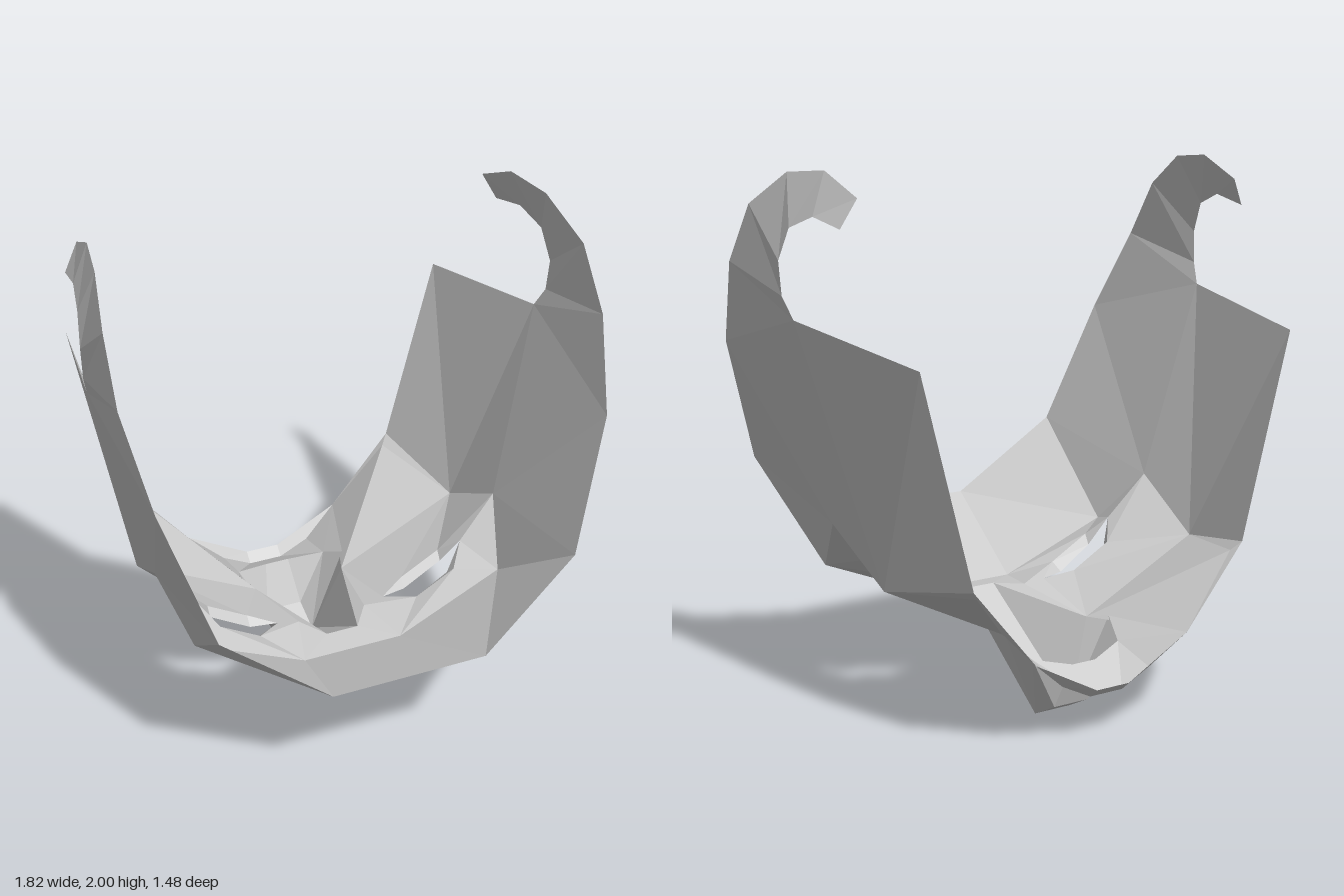
import * as THREE from 'three';

const mirror = ([x, y, z]) => [-x, y, z];

// Collects triangles of one part, each turned to face away from the hollow inside
class Patch {
  constructor() { this.pos = []; }
  tri(a, b, c) {
    if (a === b || b === c || a === c) return this;
    const [p, q, r] = [a, b, c].map(v => new THREE.Vector3(...v));
    const n = q.clone().sub(p).cross(r.clone().sub(p));
    const out = p.clone().add(q).add(r).divideScalar(3).sub(new THREE.Vector3(0, 1, -0.2));
    this.pos.push(...(n.dot(out) >= 0 ? [a, b, c] : [a, c, b]).flat());
    return this;
  }
  both(a, b, c) { return this.tri(a, b, c).tri(mirror(a), mirror(b), mirror(c)); }
  // Surface between two edges, on both sides of the face
  strip(a, b) {
    for (let i = 0; i + 1 < a.length; i++) {
      this.both(a[i], b[i], a[i + 1]).both(a[i + 1], b[i], b[i + 1]);
    }
    return this;
  }
  fan(centre, edge) {
    for (let i = 0; i + 1 < edge.length; i++) this.both(centre, edge[i], edge[i + 1]);
    return this;
  }
  // Middle band joining an edge to its own mirror image
  band(edge) {
    for (let i = 0; i + 1 < edge.length; i++) {
      const [a, b] = [edge[i], edge[i + 1]];
      this.tri(a, b, mirror(a)).tri(mirror(a), b, mirror(b));
    }
    return this;
  }
  mesh(name, material) {
    const g = new THREE.BufferGeometry();
    g.setAttribute('position', new THREE.Float32BufferAttribute(this.pos, 3));
    g.computeVertexNormals();
    const m = new THREE.Mesh(g, material);
    m.name = name;
    return m;
  }
}

export function createModel() {
  const grey = new THREE.MeshStandardMaterial({
    color: 0xcccccc, flatShading: true, side: THREE.DoubleSide,
  });
  grey.name = 'grey';

  // Landmarks on the +x half; the face points down
  const crown = [0.3, 0.56, 0.735], crownSide = [0.69, 0.85, 0.66];
  const brow = [0.2, 0.335, 0.23], browSide = [0.63, 0.515, 0.205];
  const temple = [0.705, 0.73, 0], cheekbone = [0.68, 0.555, -0.32];
  const cheek = [0.19, 0.31, -0.32];
  const jaw = [0.55, 0.605, -0.71], jawBack = [0.58, 0.64, -0.74];
  const sideBack = [0.78, 1.4, -0.74];
  const bridge = [0.065, 0.35, 0.125], bridgeSide = [0.14, 0.36, 0.02];
  const tip = [0.08, 0, -0.375], tipUnder = [0.075, 0.06, -0.49];
  const wing = [0.23, 0.33, -0.405], nostril = [0.19, 0.27, -0.515];
  const noseBase = [0.05, 0.24, -0.565];
  const lip = [0.07, 0.165, -0.7], lipSide = [0.19, 0.225, -0.7];
  const lipBack = [0.07, 0.2, -0.74], mouthBack = [0.33, 0.34, -0.74];

  // Eye opening: wide rim and the narrower hole below it
  const inner = [0.225, 0.37, 0.01], outer = [0.55, 0.565, 0.03];
  const rim = [inner, [0.33, 0.4, -0.045], [0.49, 0.49, -0.045], outer,
    [0.49, 0.49, 0.1], [0.33, 0.4, 0.1], inner];
  const hole = [inner, [0.33, 0.365, -0.015], [0.49, 0.455, -0.02], outer,
    [0.48, 0.455, 0.065], [0.345, 0.365, 0.065], inner];

  // Hooked horn edges, from root to point
  const hornFront = [[0.85, 1.335, 0.54], [0.905, 1.65, 0.37], [0.895, 1.865, 0.22],
    [0.85, 1.985, 0.01], [0.815, 2, -0.195], [0.8, 1.92, -0.39]];
  const hornBack = [[0.885, 1.49, -0.085], [0.905, 1.57, -0.04], [0.91, 1.69, -0.03],
    [0.895, 1.805, -0.085], [0.87, 1.85, -0.21], [0.855, 1.82, -0.37]];

  const group = new THREE.Group();
  group.name = 'mask';
  group.add(
    new Patch().band([crown, brow])
      .strip([crownSide, crown], [browSide, brow]).mesh('forehead', grey),
    new Patch().strip([cheek, cheek, cheekbone, temple, browSide, brow, bridgeSide, cheek],
      [...rim, inner]).mesh('eyeSockets', grey),
    new Patch().strip(rim, hole).mesh('eyeRims', grey),
    new Patch().band([brow, bridge, tip, tipUnder, noseBase])
      .fan(bridge, [brow, bridgeSide, cheek, tip])
      .fan(tip, [cheek, wing, nostril, tipUnder])
      .both(tipUnder, nostril, noseBase).mesh('nose', grey),
    new Patch().fan(cheek, [cheekbone, jaw, mouthBack, wing])
      .fan(mouthBack, [wing, nostril, lipSide])
      .both(jaw, jawBack, mouthBack).mesh('cheeks', grey),
    new Patch().band([noseBase, lip, lipBack])
      .fan(lip, [noseBase, nostril, lipSide])
      .strip([lip, lipSide], [lipBack, mouthBack]).mesh('upperLip', grey),
    new Patch().fan(temple, [browSide, crownSide, hornFront[0], hornBack[0], cheekbone])
      .fan(cheekbone, [hornBack[0], sideBack, jawBack, jaw]).mesh('sideWalls', grey),
    new Patch().strip(hornFront, hornBack).mesh('horns', grey),
  );
  return group;
}
